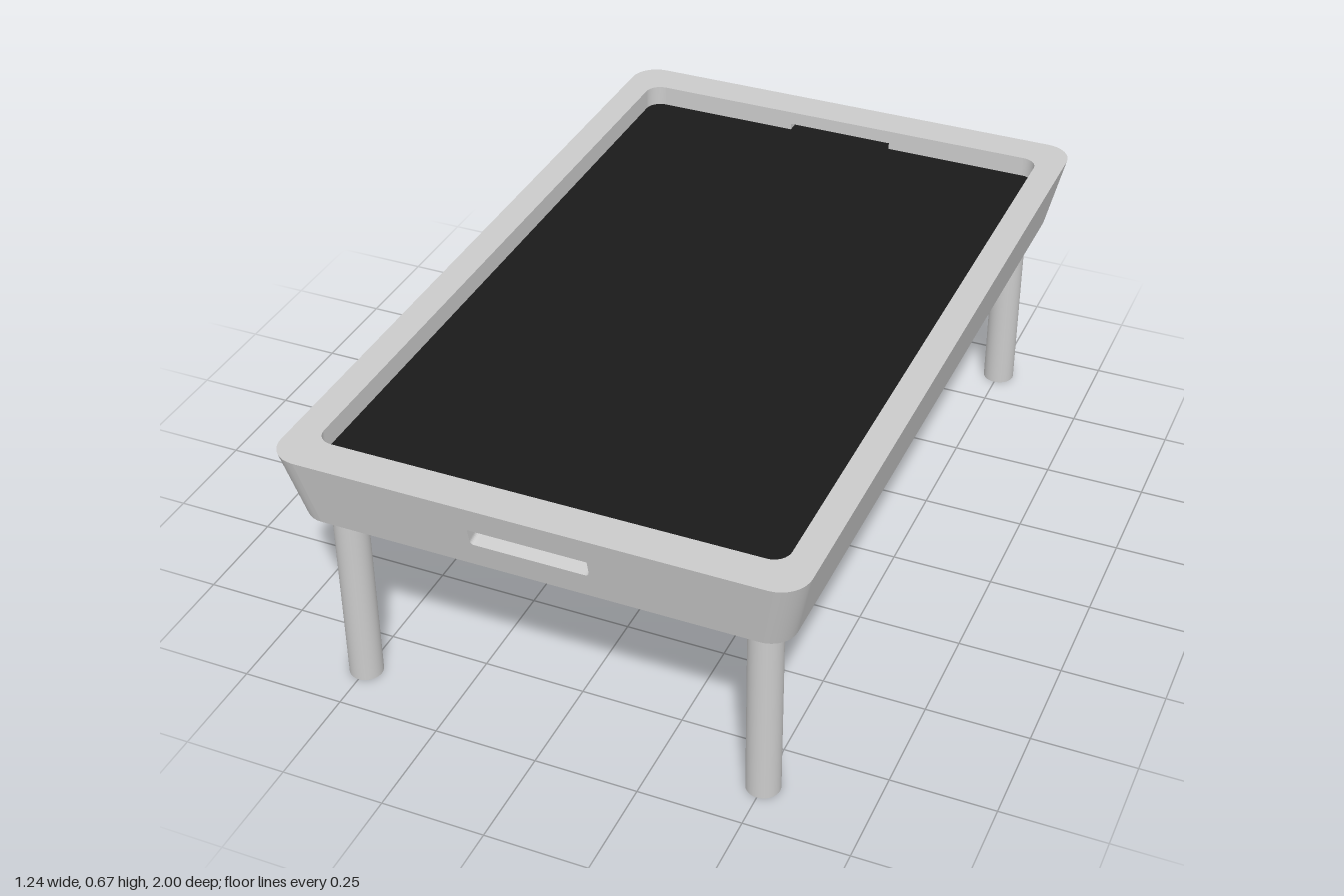
import * as THREE from 'three';

const grey = new THREE.MeshStandardMaterial({ color: 0xcccccc, side: THREE.DoubleSide });
const black = new THREE.MeshStandardMaterial({ color: 0x1a1a1a, side: THREE.DoubleSide });

const N = 8; // segments per rounded corner
const BOTTOM = 0.49, TOP = 0.667, FLOOR = 0.615, FLARE = 0.04;
const SLOT = 0.14, NOTCH = 0.632; // handle half width, top of inner notch

// Rounded rectangle as a ring of points, starting at +x and turning to +z
function ring(hx, hz, r, y) {
  const pts = [];
  for (let k = 0; k < 4; k++) {
    const sx = k === 0 || k === 3 ? 1 : -1, sz = k < 2 ? 1 : -1;
    for (let i = 0; i <= N; i++) {
      const a = (k + i / N) * Math.PI / 2;
      pts.push(new THREE.Vector3(sx * (hx - r) + r * Math.cos(a), y, sz * (hz - r) + r * Math.sin(a)));
    }
  }
  return pts;
}

// Band between two rings; openEnds leaves out the straight front and back
function band(a, b, openEnds = false) {
  const n = a.length, index = [];
  for (let i = 0; i < n; i++) {
    if (openEnds && (i === N || i === 3 * N + 2)) continue;
    const j = (i + 1) % n;
    index.push(i, n + i, j, j, n + i, n + j);
  }
  const g = new THREE.BufferGeometry().setFromPoints([...a, ...b]);
  g.setIndex(index);
  g.computeVertexNormals();
  return g;
}

function add(parent, name, geometry, material = grey) {
  const mesh = new THREE.Mesh(geometry, material);
  mesh.name = name;
  parent.add(mesh);
  return mesh;
}

const polygon = (pts) => new THREE.Shape(pts.map(([x, y]) => new THREE.Vector2(x, y)));
const flat = (points) => new THREE.ShapeGeometry(polygon(points.map((p) => [p.x, p.z])));

// One end of the tray: sloped panel with handle recess, inner wall with notch
function makeEnd() {
  const end = new THREE.Group();
  const slope = Math.hypot(TOP - BOTTOM, FLARE);

  const outer = new THREE.Group();
  outer.name = 'outerEnd';
  outer.position.set(0, BOTTOM, 0.96);
  outer.rotation.x = Math.atan2(FLARE, TOP - BOTTOM);
  end.add(outer);

  const v0 = 0.067, v1 = 0.113, c = 0.012, depth = 0.06;
  const slot = new THREE.Shape();
  slot.moveTo(-SLOT, v1);
  slot.lineTo(-SLOT, v0 + c);
  slot.quadraticCurveTo(-SLOT, v0, -SLOT + c, v0);
  slot.lineTo(SLOT - c, v0);
  slot.quadraticCurveTo(SLOT, v0, SLOT, v0 + c);
  slot.lineTo(SLOT, v1);
  slot.closePath();

  const panel = polygon([[-0.52, 0], [0.52, 0], [0.55, slope], [-0.55, slope]]);
  panel.holes.push(new THREE.Path(slot.getPoints(6)));
  add(outer, 'endPanel', new THREE.ShapeGeometry(panel));

  // Handle recess sides and back
  const edge = slot.getPoints(6).map((p) => new THREE.Vector3(p.x, p.y, 0));
  const back = edge.map((p) => new THREE.Vector3(p.x, p.y, -depth));
  const sides = band(back, edge).toNonIndexed();
  sides.computeVertexNormals();
  add(outer, 'handleRecess', sides);
  add(outer, 'handleRecessBack', new THREE.ShapeGeometry(slot).translate(0, 0, -depth));

  // Inner wall, notched over the handle
  const wall = polygon([[-0.51, FLOOR], [-SLOT, FLOOR], [-SLOT, NOTCH], [SLOT, NOTCH],
    [SLOT, FLOOR], [0.51, FLOOR], [0.51, TOP], [-0.51, TOP]]);
  add(end, 'innerEndWall', new THREE.ShapeGeometry(wall).rotateY(Math.PI).translate(0, 0, 0.905));
  const w = 2 * SLOT, d = 0.045, h = NOTCH - FLOOR, z = 0.905 + d / 2;
  add(end, 'notchFloor', new THREE.PlaneGeometry(w, d).rotateX(-Math.PI / 2).translate(0, FLOOR, z), black);
  add(end, 'notchCeiling', new THREE.PlaneGeometry(w, d).rotateX(Math.PI / 2).translate(0, NOTCH, z));
  add(end, 'notchBack', new THREE.PlaneGeometry(w, h).rotateY(Math.PI).translate(0, FLOOR + h / 2, 0.905 + d));
  for (const s of [-1, 1]) {
    add(end, 'notchSide', new THREE.PlaneGeometry(d, h).rotateY(-s * Math.PI / 2)
      .translate(s * SLOT, FLOOR + h / 2, z));
  }
  return end;
}

export function createModel() {
  const table = new THREE.Group();
  table.name = 'trayTable';

  // Flared tray shell
  const tray = new THREE.Group();
  tray.name = 'tray';
  table.add(tray);
  const low = ring(0.58, 0.96, 0.06, BOTTOM);
  const high = ring(0.62, 1, 0.07, TOP);
  const inHigh = ring(0.55, 0.905, 0.04, TOP);
  const inLow = ring(0.55, 0.905, 0.04, FLOOR);
  add(tray, 'outerWall', band(low, high, true));
  add(tray, 'rim', band(high, inHigh));
  add(tray, 'innerWall', band(inHigh, inLow, true));
  add(tray, 'underside', flat(low).rotateX(Math.PI / 2).translate(0, BOTTOM, 0));
  add(tray, 'trayFloor', flat(inLow).rotateX(-Math.PI / 2).translate(0, FLOOR, 0), black);

  // Front and back ends with handles
  ['frontEnd', 'backEnd'].forEach((name, i) => {
    const end = makeEnd();
    end.name = name;
    end.rotation.y = i * Math.PI;
    tray.add(end);
  });

  // Round legs
  const legGeometry = new THREE.CylinderGeometry(0.04, 0.04, BOTTOM, 32);
  for (const x of [-0.5, 0.5]) {
    for (const z of [-0.875, 0.875]) {
      const name = (z > 0 ? 'front' : 'back') + (x > 0 ? 'Left' : 'Right') + 'Leg';
      add(table, name, legGeometry).position.set(x, BOTTOM / 2, z);
    }
  }
  return table;
}
